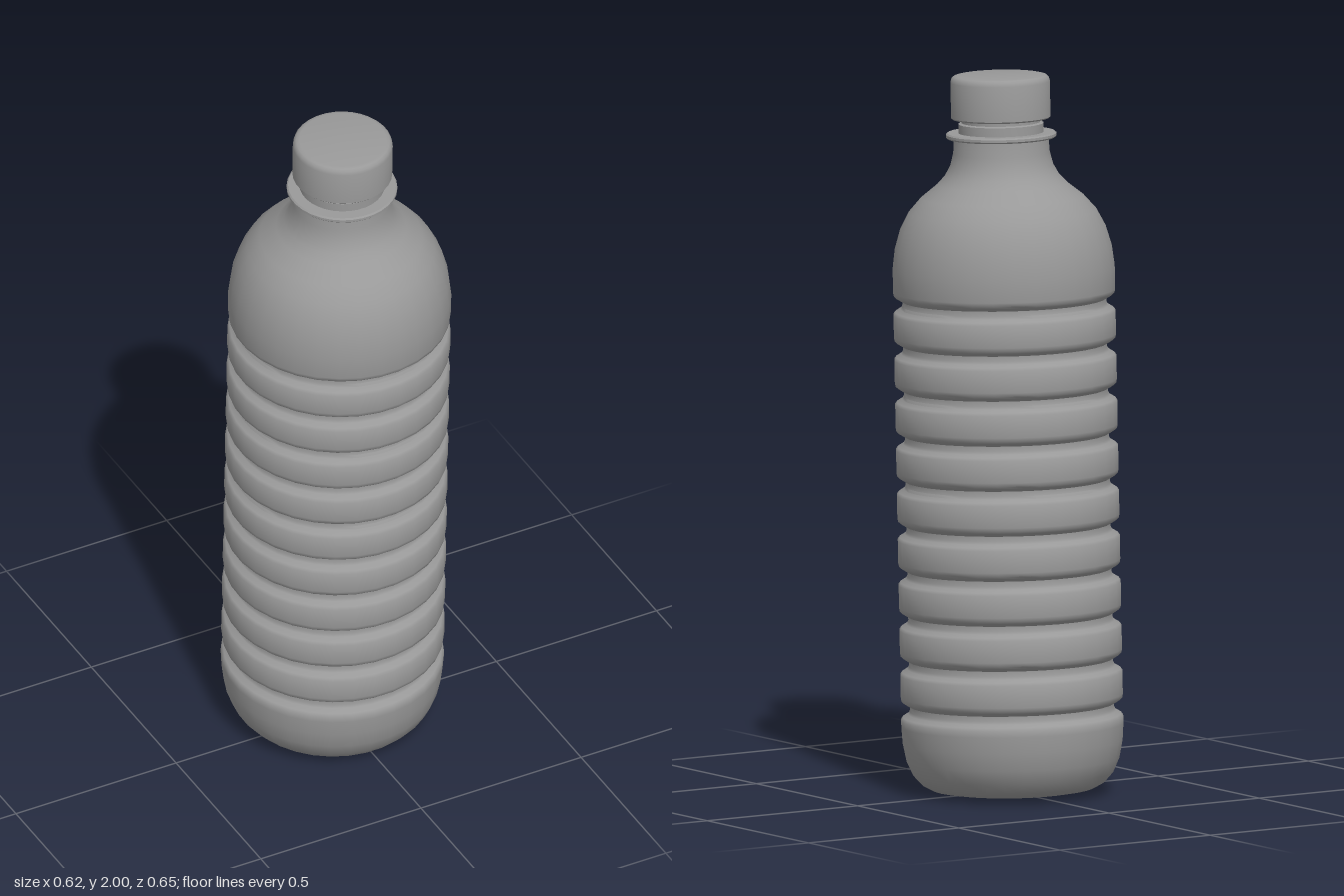
import * as THREE from 'three';
import { toCreasedNormals } from 'three/addons/utils/BufferGeometryUtils.js';

const SIDES = 32;
const plastic = new THREE.MeshStandardMaterial({ color: 0x999999 });
plastic.name = 'grey plastic';

// Turned part from [radius, height] pairs, listed bottom to top
function turned(name, profile) {
  const points = profile.map(([r, y]) => new THREE.Vector2(r, y));
  const lathe = new THREE.LatheGeometry(points, SIDES, Math.PI / SIDES);
  const mesh = new THREE.Mesh(toCreasedNormals(lathe, 0.7), plastic);
  mesh.name = name;
  return mesh;
}

export function createModel() {
  const R = 0.308;

  // Rounded base
  const body = [
    [0, 0.007], [0.19, 0.007], [0.225, 0.013], [0.252, 0.027],
    [0.277, 0.055], [0.295, 0.095], [0.305, 0.145], [R, 0.19],
  ];

  // Ten grooves with ribs between them
  for (let i = 0; i < 10; i++) {
    const y = 0.232 + i * 0.1252;
    body.push(
      [R, y - 0.024], [0.302, y - 0.016], [0.287, y - 0.008], [0.283, y],
      [0.283, y + 0.014], [0.299, y + 0.023], [0.306, y + 0.03], [R, y + 0.04],
    );
  }

  // Domed shoulder flowing into the neck
  body.push(
    [R, 1.46], [0.301, 1.515], [0.285, 1.57], [0.26, 1.618], [0.225, 1.658],
    [0.18, 1.694], [0.158, 1.718], [0.143, 1.745], [0.134, 1.78], [0.131, 1.826],
  );

  const bottle = new THREE.Group();
  bottle.name = 'bottle';
  bottle.add(
    turned('body', body),
    turned('neckRing', [
      [0.12, 1.822], [0.149, 1.822], [0.153, 1.826], [0.153, 1.833],
      [0.149, 1.837], [0.1, 1.837],
    ]),
    turned('sealBand', [
      [0.118, 1.83], [0.118, 1.862], [0.109, 1.865], [0.109, 1.885],
    ]),
    turned('cap', [
      [0, 1.876], [0.134, 1.876], [0.138, 1.88], [0.138, 1.978],
      [0.135, 1.988], [0.129, 1.994], [0.12, 1.996], [0, 1.996],
    ]),
  );

  // The bottle leans very slightly forward
  bottle.rotation.set(0.03, 0, -0.0025);
  bottle.position.set(-0.002, 0, -0.026);

  const model = new THREE.Group();
  model.name = 'waterBottle';
  model.add(bottle);
  return model;
}
